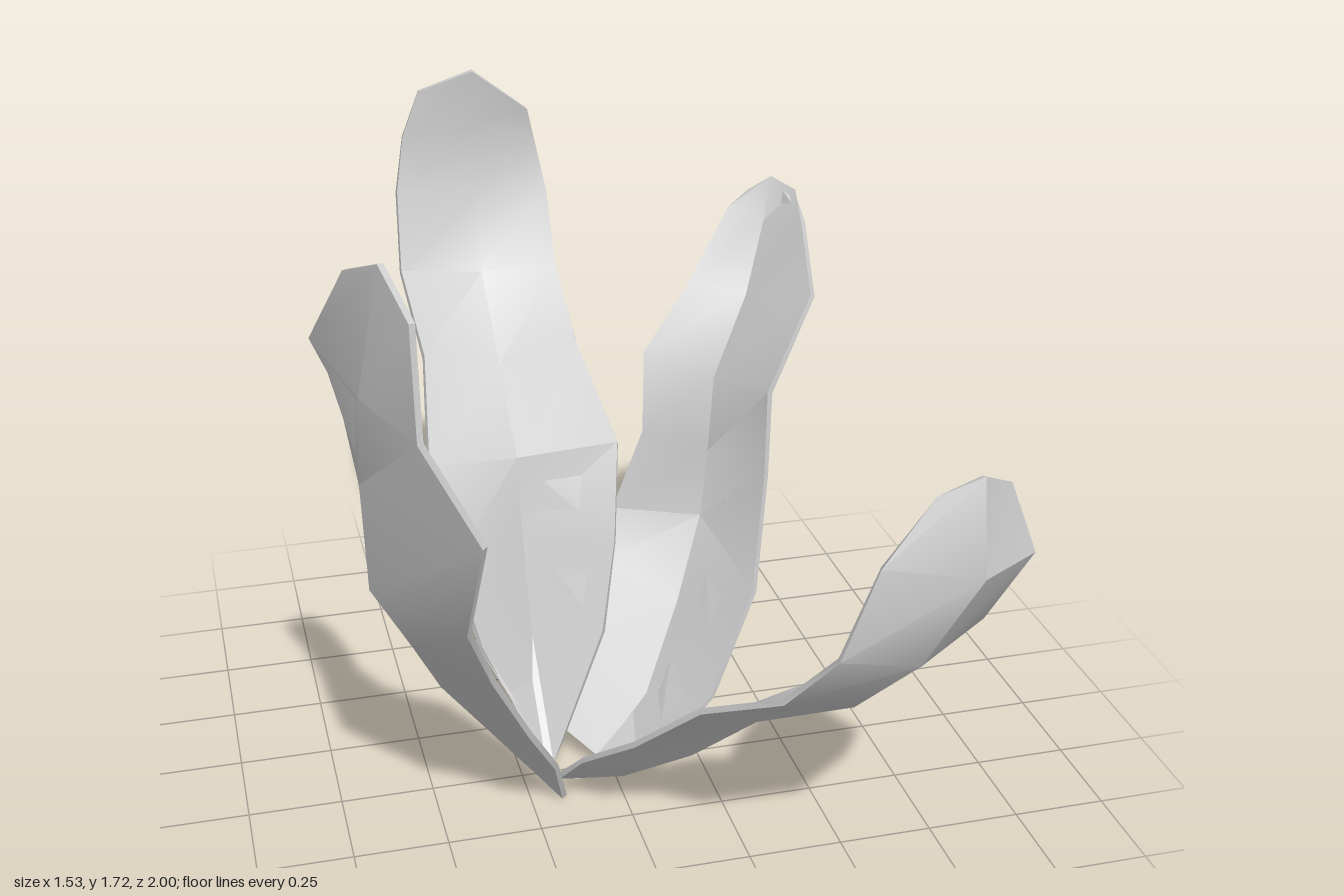
import * as THREE from 'three';
import { toCreasedNormals } from 'three/addons/utils/BufferGeometryUtils.js';

const THICKNESS = 0.016;

// Each leaf is a list of cross-sections from base to tip: [edge, midrib, edge].
const LEAVES = {
  backLeaf: [
    [[-.2, .09, -.06], [-.16, .03, -.01], [-.12, .09, -.06]],
    [[-.33, .35, -.15], [-.16, .29, -.27], [.02, .35, -.15]],
    [[-.38, .57, -.24], [-.16, .57, -.39], [.08, .57, -.26]],
    [[-.42, .81, -.36], [-.16, .77, -.44], [.115, .82, -.37]],
    [[-.38, 1.02, -.63], [-.16, .96, -.66], [.06, 1.02, -.63]],
    [[-.4, 1.19, -.87], [-.16, 1.155, -.9], [.052, 1.18, -.86]],
    [[-.39, 1.4, -.95], [-.16, 1.38, -.98], [.047, 1.37, -.95]],
    [[-.36, 1.55, -.99], [-.16, 1.57, -.985], [.02, 1.52, -.99]],
    [[-.31, 1.68, -.985], [-.16, 1.735, -.96], [0, 1.61, -.98]],
  ],
  rightLeaf: [
    [[-.25, .05, -.11], [-.21, .03, .02], [-.16, .015, .13]],
    [[-.39, .34, -.125], [-.36, .25, .08], [-.2, .18, .22]],
    [[-.47, .47, -.08], [-.48, .43, .14], [-.29, .37, .34]],
    [[-.55, .64, -.02], [-.56, .62, .24], [-.4, .61, .44]],
    [[-.63, .96, .065], [-.67, .86, .35], [-.48, .84, .58]],
    [[-.69, 1.27, .08], [-.685, 1.17, .41], [-.455, 1.12, .69]],
    [[-.76, 1.47, .24], [-.68, 1.4, .45], [-.585, 1.38, .675]],
    [[-.69, 1.68, .39], [-.63, 1.735, .52], [-.585, 1.64, .635]],
  ],
  backLeftLeaf: [
    [[-.12, .1, -.09], [-.03, .04, .01], [-.12, .04, .08]],
    [[-.04, .32, -.2], [.12, .19, -.05], [.08, .12, .17]],
    [[.05, .5, -.28], [.24, .4, -.17], [.25, .28, .14]],
    [[.11, .6, -.4], [.33, .62, -.26], [.4, .52, .02]],
    [[.2, .83, -.41], [.36, .8, -.3], [.465, .8, -.11]],
    [[.205, 1.06, -.43], [.385, 1, -.34], [.47, 1.04, -.12]],
    [[.35, 1.22, -.5], [.5, 1.2, -.43], [.62, 1.26, -.235]],
    [[.48, 1.41, -.565], [.57, 1.38, -.51], [.635, 1.42, -.38]],
    [[.54, 1.45, -.565], [.6, 1.495, -.55], [.645, 1.47, -.48]],
  ],
  frontLeftLeaf: [
    [[-.17, .08, .12], [-.15, .055, .09], [-.13, .04, .07]],
    [[-.13, .19, .22], [-.02, .13, .22], [.08, .13, .16]],
    [[-.04, .35, .41], [.12, .28, .38], [.25, .34, .32]],
    [[.08, .54, .58], [.24, .46, .53], [.38, .5, .48]],
    [[.22, .67, .78], [.41, .61, .74], [.61, .66, .67]],
    [[.3, .85, .91], [.49, .82, .92], [.68, .86, .82]],
    [[.38, 1.08, .92], [.595, 1.065, .99], [.755, 1.06, .89]],
    [[.51, 1.23, .9], [.6, 1.285, .93], [.69, 1.23, .87]],
  ],
};

// Thin closed shell around a grid of points
function leafGeometry(rows) {
  const n = rows.length;
  const grid = rows.map(r => r.map(p => new THREE.Vector3(...p)));
  const rings = grid.map((row, i) => {
    const offset = row.map((p, j) => {
      const across = row[Math.min(j + 1, 2)].clone().sub(row[Math.max(j - 1, 0)]);
      const along = grid[Math.min(i + 1, n - 1)][j].clone().sub(grid[Math.max(i - 1, 0)][j]);
      return across.cross(along).setLength(THICKNESS / 2);
    });
    const front = row.map((p, j) => p.clone().add(offset[j]));
    const back = row.map((p, j) => p.clone().sub(offset[j]));
    return [...front, ...back.reverse()];
  });
  const positions = rings.flat().flatMap(p => p.toArray());
  const index = [];
  const quad = (a, b, c, d) => index.push(a, b, c, a, c, d);
  for (let i = 0; i < n - 1; i++) {
    for (let k = 0; k < 6; k++) {
      const a = i * 6 + k, b = i * 6 + (k + 1) % 6;
      quad(a, b, b + 6, a + 6);
    }
  }
  // base and tip rims
  const t = (n - 1) * 6;
  quad(0, 5, 4, 1);
  quad(1, 4, 3, 2);
  quad(t, t + 1, t + 4, t + 5);
  quad(t + 1, t + 2, t + 3, t + 4);

  const geometry = new THREE.BufferGeometry();
  geometry.setAttribute('position', new THREE.Float32BufferAttribute(positions, 3));
  geometry.setIndex(index);
  return toCreasedNormals(geometry, THREE.MathUtils.degToRad(32));
}

export function createModel() {
  const group = new THREE.Group();
  group.name = 'leafPlant';
  const material = new THREE.MeshStandardMaterial({ color: 0xcccccc, side: THREE.DoubleSide });
  for (const [name, rows] of Object.entries(LEAVES)) {
    const leaf = new THREE.Mesh(leafGeometry(rows), material);
    leaf.name = name;
    group.add(leaf);
  }
  return group;
}
